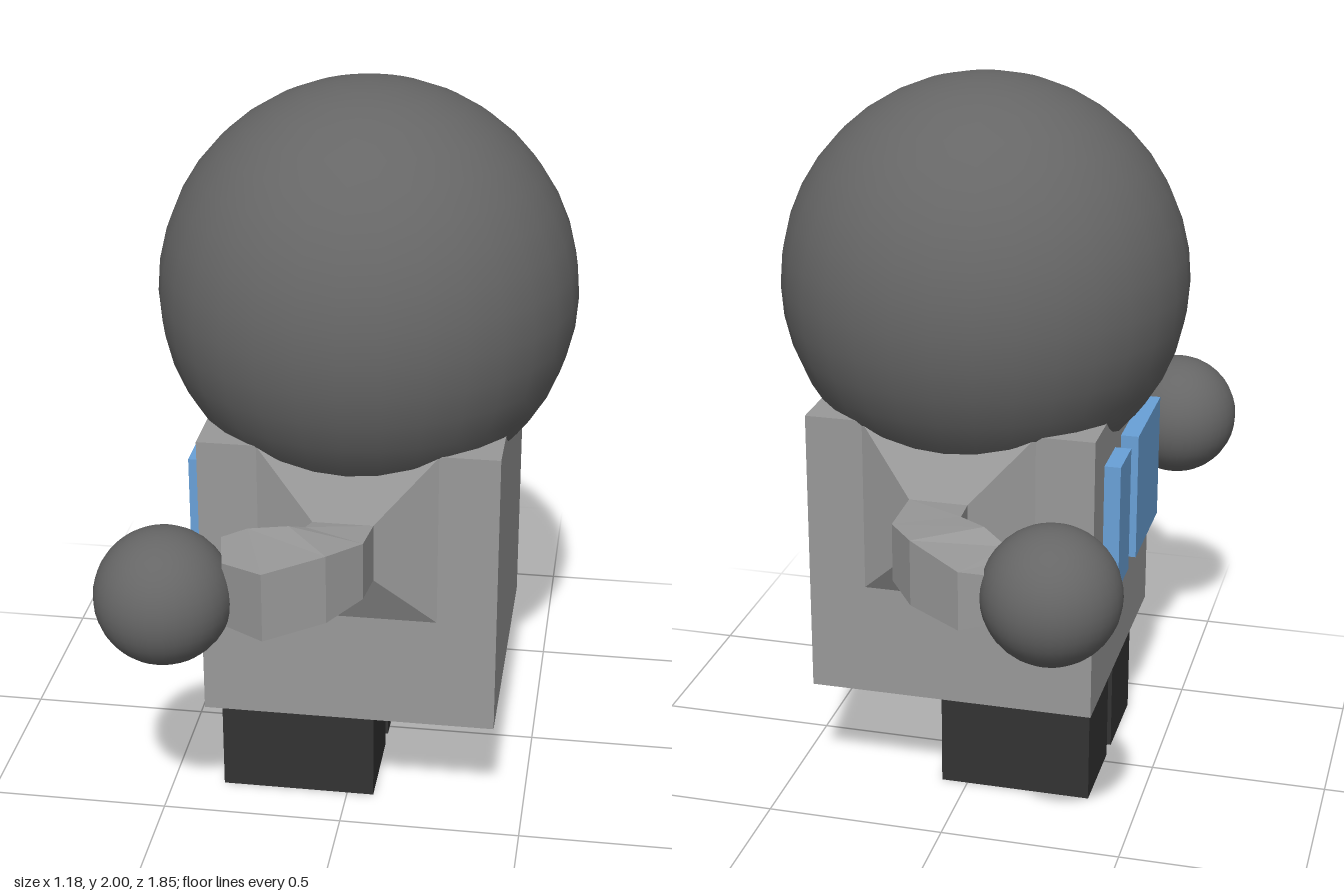
import * as THREE from 'three';

export function createModel() {
  const model = new THREE.Group();
  const mat = (name, color) => {
    const m = new THREE.MeshStandardMaterial({ color });
    m.name = name;
    return m;
  };
  const lightGrey = mat('light grey', 0x999999);
  const darkGrey = mat('dark grey', 0x666666);
  const black = mat('black', 0x333333);
  const blue = mat('blue', 0x69a1d8);

  const add = (name, geometry, material) => {
    const mesh = new THREE.Mesh(geometry, material);
    mesh.name = name;
    model.add(mesh);
    return mesh;
  };
  // Box given by its extents on each axis
  const box = (name, [x0, x1], [y0, y1], [z0, z1], material) =>
    add(name, new THREE.BoxGeometry(x1 - x0, y1 - y0, z1 - z0), material)
      .position.set((x0 + x1) / 2, (y0 + y1) / 2, (z0 + z1) / 2);
  const ball = (name, r, x, y, z) =>
    add(name, new THREE.SphereGeometry(r, 32, 20), darkGrey).position.set(x, y, z);

  // Square-section arm; each station is [outer x, outer z, inner x, inner z, bottom y, top y]
  const armGeometry = (stations, flip) => {
    const loops = stations.map(([ox, oz, ix, iz, y0, y1]) =>
      [[ox, y1, oz], [ix, y1, iz], [ix, y0, iz], [ox, y0, oz]]);
    const pos = [];
    const tri = (a, b, c) => pos.push(...a, ...(flip ? c : b), ...(flip ? b : c));
    for (let k = 0; k < loops.length - 1; k++) {
      for (let i = 0; i < 4; i++) {
        const j = (i + 1) % 4;
        const a = loops[k][i], b = loops[k][j], c = loops[k + 1][j], d = loops[k + 1][i];
        tri(a, b, c);
        tri(a, c, d);
      }
    }
    const end = loops[loops.length - 1];
    tri(end[0], end[1], end[2]);
    tri(end[0], end[2], end[3]);
    const g = new THREE.BufferGeometry();
    g.setAttribute('position', new THREE.Float32BufferAttribute(pos, 3));
    g.computeVertexNormals();
    return g;
  };

  // Head and torso
  ball('head', 0.565, 0.02, 1.435, 0.067);
  box('torso', [-0.38, 0.42], [0.32, 1.13], [-0.33, 0.47], lightGrey);

  // Eye plates on the -x face
  box('smallEye', [-0.425, -0.37], [0.655, 1.015], [-0.205, -0.06], blue);
  box('largeEye', [-0.43, -0.37], [0.655, 1.02], [0.02, 0.35], blue);

  // Legs and boots
  for (const z of [0.23, -0.09]) {
    box('leg', [-0.17, 0.07], [0.25, 0.33], [z - 0.12, z + 0.12], lightGrey);
    box('boot', [-0.355, 0.075], [0, 0.265], [z - 0.13, z + 0.13], black);
  }

  // Arms: flared shoulder, then a bend toward the face side
  add('frontArm', armGeometry([
    [0.26, 0.47, -0.22, 0.47, 0.64, 1.128],
    [0.10, 0.55, -0.06, 0.55, 0.80, 0.96],
    [0.09, 0.67, -0.07, 0.60, 0.81, 0.97],
    [0.01, 0.77, -0.11, 0.62, 0.79, 0.98],
    [-0.14, 0.85, -0.22, 0.61, 0.77, 0.96],
    [-0.26, 0.75, -0.29, 0.61, 0.75, 0.93],
  ], false), lightGrey);
  add('backArm', armGeometry([
    [0.26, -0.33, -0.22, -0.33, 0.64, 1.128],
    [0.10, -0.43, -0.06, -0.43, 0.80, 0.96],
    [0.09, -0.62, -0.07, -0.53, 0.81, 0.97],
    [0.01, -0.73, -0.15, -0.60, 0.80, 0.98],
    [-0.14, -0.82, -0.22, -0.64, 0.79, 0.95],
    [-0.23, -0.80, -0.26, -0.67, 0.81, 0.94],
  ], true), lightGrey);

  // Hands
  ball('frontHand', 0.18, -0.415, 0.825, 0.745);
  ball('backHand', 0.18, -0.36, 0.88, -0.745);

  return model;
}
